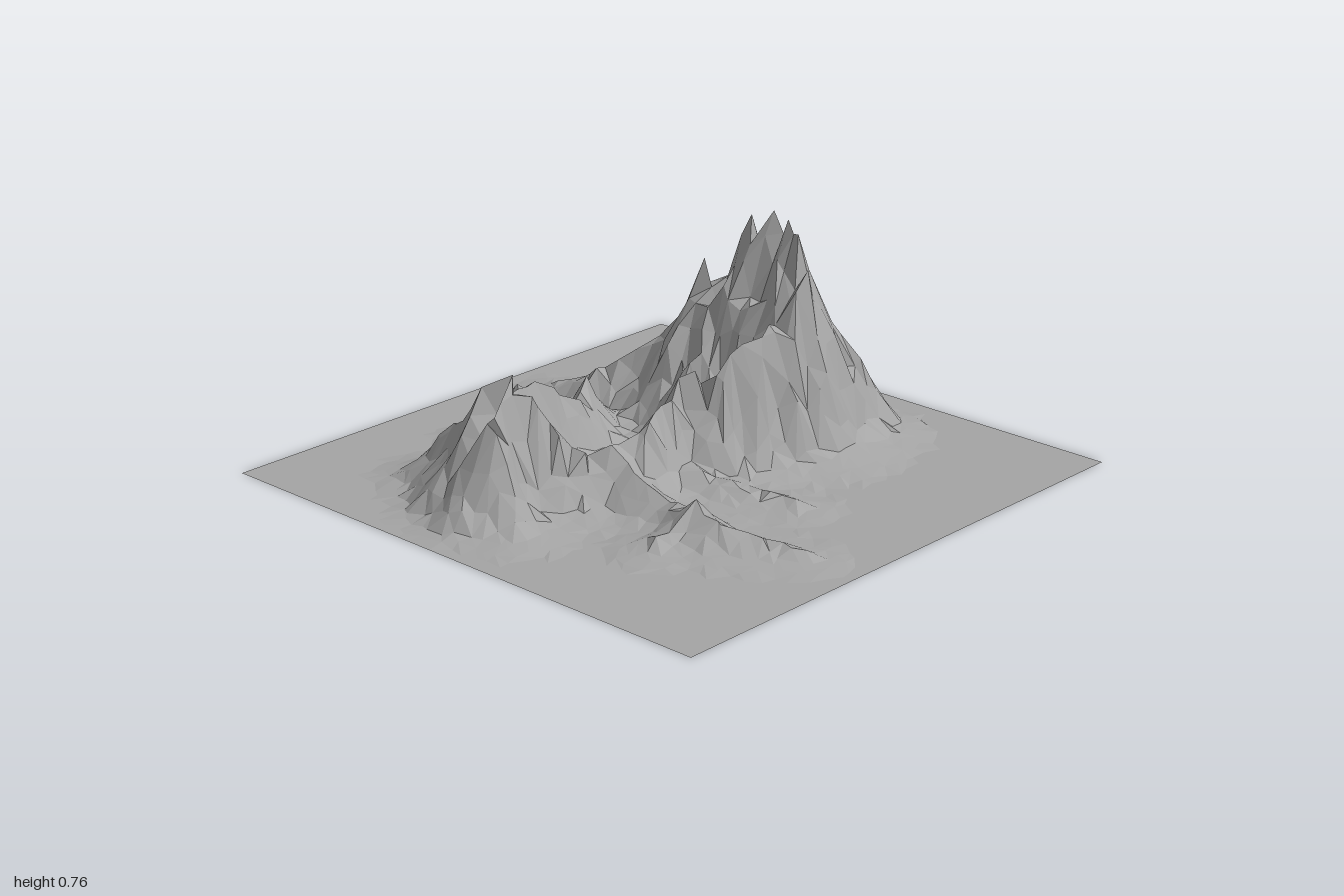
import * as THREE from 'three';

// Crest lines as lists of [x, z, height]
const RIDGES = [
  // summit crest, bending into the south-east shoulder and the crater's east rim
  [[-0.27, -0.44, 0.56], [-0.2, -0.48, 0.51], [-0.12, -0.51, 0.73], [-0.03, -0.52, 0.78], [0.05, -0.5, 0.75],
    [0.12, -0.47, 0.72], [0.19, -0.44, 0.62], [0.16, -0.25, 0.43], [0.12, -0.14, 0.39], [0.02, 0, 0.32],
    [0.08, 0.2, 0.24], [0.01, 0.42, 0.18], [-0.18, 0.55, 0.43]],
  // north-east buttress
  [[-0.03, -0.52, 0.76], [0.25, -0.65, 0.27]],
  // knoll below the summit
  [[-0.05, -0.34, 0.38], [-0.16, -0.25, 0.26]],
  // western spurs
  [[-0.27, -0.44, 0.56], [-0.38, -0.41, 0.3], [-0.58, -0.23, 0.14], [-0.76, -0.22, 0.05]],
  [[-0.2, -0.48, 0.5], [-0.5, -0.6, 0.13]],
  // crater's west rim and the front mountain
  [[-0.42, -0.02, 0.21], [-0.31, 0.12, 0.19], [-0.36, 0.36, 0.34], [-0.3, 0.46, 0.27], [-0.25, 0.62, 0.39],
    [-0.18, 0.55, 0.43], [-0.12, 0.69, 0.34], [0.02, 0.74, 0.08]],
  [[-0.25, 0.62, 0.39], [-0.5, 0.58, 0.15]],
  // western foothills
  [[-0.36, 0.36, 0.3], [-0.6, 0.25, 0.1]],
  // low eastern hills and their front spur
  [[0.1, 0.32, 0.14], [0.3, 0.34, 0.07], [0.44, 0.37, 0.13], [0.55, 0.38, 0.08], [0.8, 0.27, 0.035]],
  [[0.44, 0.37, 0.13], [0.42, 0.53, 0.05]],
  // gentle eastern rise
  [[0.2, 0.08, 0.07], [0.52, -0.01, 0.035]],
];

function seeded(seed) {
  return () => {
    seed = (seed * 1664525 + 1013904223) % 4294967296;
    return seed / 4294967296;
  };
}

// Height of one crest segment: a hollow flank, steeper on its east side, with a low skirt
function segmentHeight(x, z, a, b, rough) {
  const dx = b[0] - a[0], dz = b[1] - a[1];
  const t = THREE.MathUtils.clamp(((x - a[0]) * dx + (z - a[1]) * dz) / (dx * dx + dz * dz), 0, 1);
  const ox = x - a[0] - dx * t;
  const d = Math.hypot(ox, z - a[1] - dz * t);
  const h = a[2] + (b[2] - a[2]) * t;
  const reach = 0.1 + 0.41 * h;
  const east = Math.max(0, ox) / (d + 0.001);
  const fall = (r, power) => Math.pow(Math.max(0, 1 - d / r), power);
  const carve = 1 - rough * (0.08 + 0.28 * Math.min(1, d / 0.08));
  const skirt = Math.min(0.5 * h, 0.03 + 0.12 * h);
  return Math.max(h * fall(reach * (1 - 0.42 * east), 1.3) * carve, skirt * fall(0.2 + 0.31 * h, 1.3));
}

function terrainHeight(x, z, random) {
  // gullies from crossing waves, plus a little jaggedness
  const wave = Math.sin(x * 29 + 2 * Math.sin(z * 11)) * Math.sin(z * 23 + 2 * Math.sin(x * 15));
  const rough = 0.5 * wave + 0.55 * (random() - 0.4);
  let h = 0;
  for (const ridge of RIDGES) {
    for (let i = 1; i < ridge.length; i++) h = Math.max(h, segmentHeight(x, z, ridge[i - 1], ridge[i], rough));
  }
  return h < 0.004 ? 0 : h;
}

function terrainGeometry(n) {
  const random = seeded(7);
  const step = 2 / n;
  const points = [];
  // jittered grid, straight along the border
  for (let j = 0; j <= n; j++) {
    for (let i = 0; i <= n; i++) {
      const inner = i > 0 && j > 0 && i < n && j < n;
      const x = -1 + i * step + (inner ? (random() - 0.5) * 0.65 * step : 0);
      const z = -1 + j * step + (inner ? (random() - 0.5) * 0.65 * step : 0);
      points.push(new THREE.Vector3(x, inner ? terrainHeight(x, z, random) : 0, z));
    }
  }
  // pin the nearest grid point to every crest point
  for (const [x, z, h] of RIDGES.flat()) {
    points[Math.round((z + 1) / step) * (n + 1) + Math.round((x + 1) / step)].set(x, h, z);
  }
  // two triangles per cell, with the diagonal turned at random
  const corners = [];
  for (let j = 0; j < n; j++) {
    for (let i = 0; i < n; i++) {
      const a = points[j * (n + 1) + i], b = points[j * (n + 1) + i + 1];
      const c = points[(j + 1) * (n + 1) + i], d = points[(j + 1) * (n + 1) + i + 1];
      if (random() < 0.5) corners.push(a, c, b, b, c, d);
      else corners.push(a, c, d, a, d, b);
    }
  }
  const geometry = new THREE.BufferGeometry().setFromPoints(corners);
  geometry.computeVertexNormals();
  return geometry;
}

export function createModel() {
  const model = new THREE.Group();
  model.name = 'mountainLandscape';
  const rock = new THREE.MeshStandardMaterial({ color: 0xa5a5a5, flatShading: true, side: THREE.DoubleSide });
  const terrain = new THREE.Mesh(terrainGeometry(42), rock);
  terrain.name = 'mountainTerrain';
  model.add(terrain);
  return model;
}
